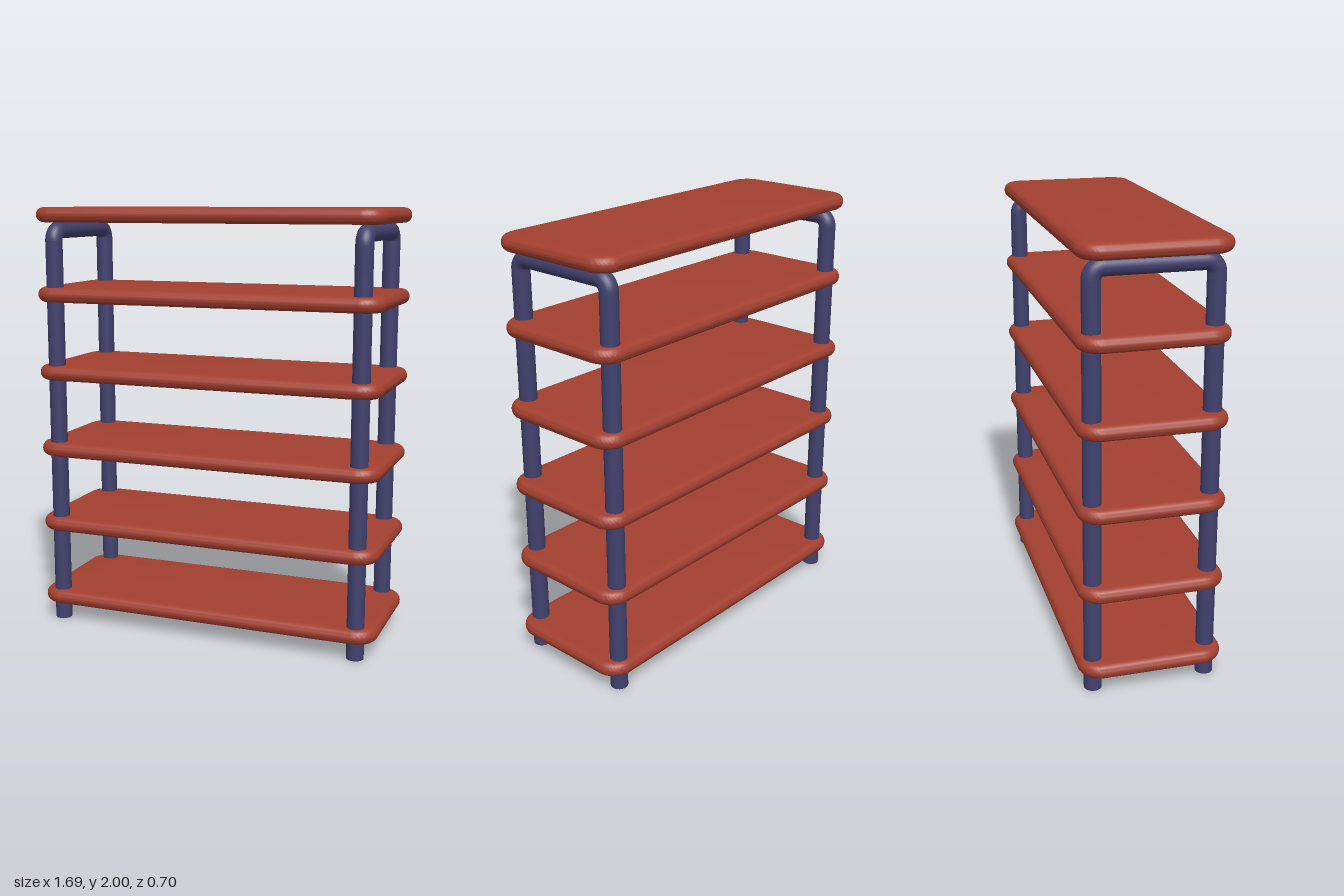
import * as THREE from 'three';
import { toCreasedNormals } from 'three/addons/utils/BufferGeometryUtils.js';

const HALF_LENGTH = 0.838, HALF_WIDTH = 0.328, THICKNESS = 0.069;
const TUBE = 0.04, BEND = 0.05, POST_X = 0.742, POST_Z = 0.26, BAR_Y = 1.895;

// Rounded board with a soft, half-round edge
function shelfGeometry() {
  const bevel = 0.033, depth = THICKNESS - 2 * bevel, r = 0.07;
  const a = HALF_LENGTH - bevel, b = HALF_WIDTH - bevel;
  const shape = new THREE.Shape();
  shape.absarc(a - r, b - r, r, 0, Math.PI / 2);
  shape.absarc(-a + r, b - r, r, Math.PI / 2, Math.PI);
  shape.absarc(-a + r, -b + r, r, Math.PI, Math.PI * 1.5);
  shape.absarc(a - r, -b + r, r, Math.PI * 1.5, Math.PI * 2);
  const geometry = new THREE.ExtrudeGeometry(shape, {
    depth, bevelEnabled: true, bevelSize: bevel, bevelThickness: bevel,
    bevelSegments: 6, curveSegments: 10,
  });
  geometry.translate(0, 0, -depth / 2).rotateX(-Math.PI / 2);
  return toCreasedNormals(geometry, 0.7);
}

// Bent tube frame: two posts, two quarter bends and a top bar
function endFrame(material) {
  const frame = new THREE.Group();
  const add = (name, geometry, y, z) => {
    const mesh = new THREE.Mesh(geometry, material);
    mesh.name = name;
    mesh.position.set(0, y, z);
    frame.add(mesh);
    return mesh;
  };
  const postHeight = BAR_Y - BEND;
  const post = new THREE.CylinderGeometry(TUBE, TUBE, postHeight, 24);
  const bend = new THREE.TorusGeometry(BEND, TUBE, 24, 10, Math.PI / 2);
  const bar = new THREE.CylinderGeometry(TUBE, TUBE, 2 * (POST_Z - BEND), 24);
  for (const side of [1, -1]) {
    const end = side > 0 ? 'front' : 'back';
    add(end + 'Post', post, postHeight / 2, side * POST_Z);
    add(end + 'Bend', bend, postHeight, side * (POST_Z - BEND)).rotation.y = -side * Math.PI / 2;
  }
  add('topBar', bar, BAR_Y, 0).rotation.x = Math.PI / 2;
  return frame;
}

export function createModel() {
  const red = new THREE.MeshStandardMaterial({ color: 0xa34030 });
  red.name = 'brick red';
  const blue = new THREE.MeshStandardMaterial({ color: 0x41416e });
  blue.name = 'dark blue';

  const model = new THREE.Group();
  model.name = 'shelfRack';

  // Six evenly spaced shelves
  const board = shelfGeometry();
  for (let i = 0; i < 6; i++) {
    const shelf = new THREE.Mesh(board, red);
    shelf.name = 'shelf' + (i + 1);
    shelf.position.y = 0.114 + i * 0.3703;
    model.add(shelf);
  }

  // One tube frame at each end
  for (const side of [1, -1]) {
    const frame = endFrame(blue);
    frame.name = side > 0 ? 'leftFrame' : 'rightFrame';
    frame.position.x = side * POST_X;
    model.add(frame);
  }

  // The whole rack stands slightly turned
  model.rotation.y = 0.03;
  return model;
}
